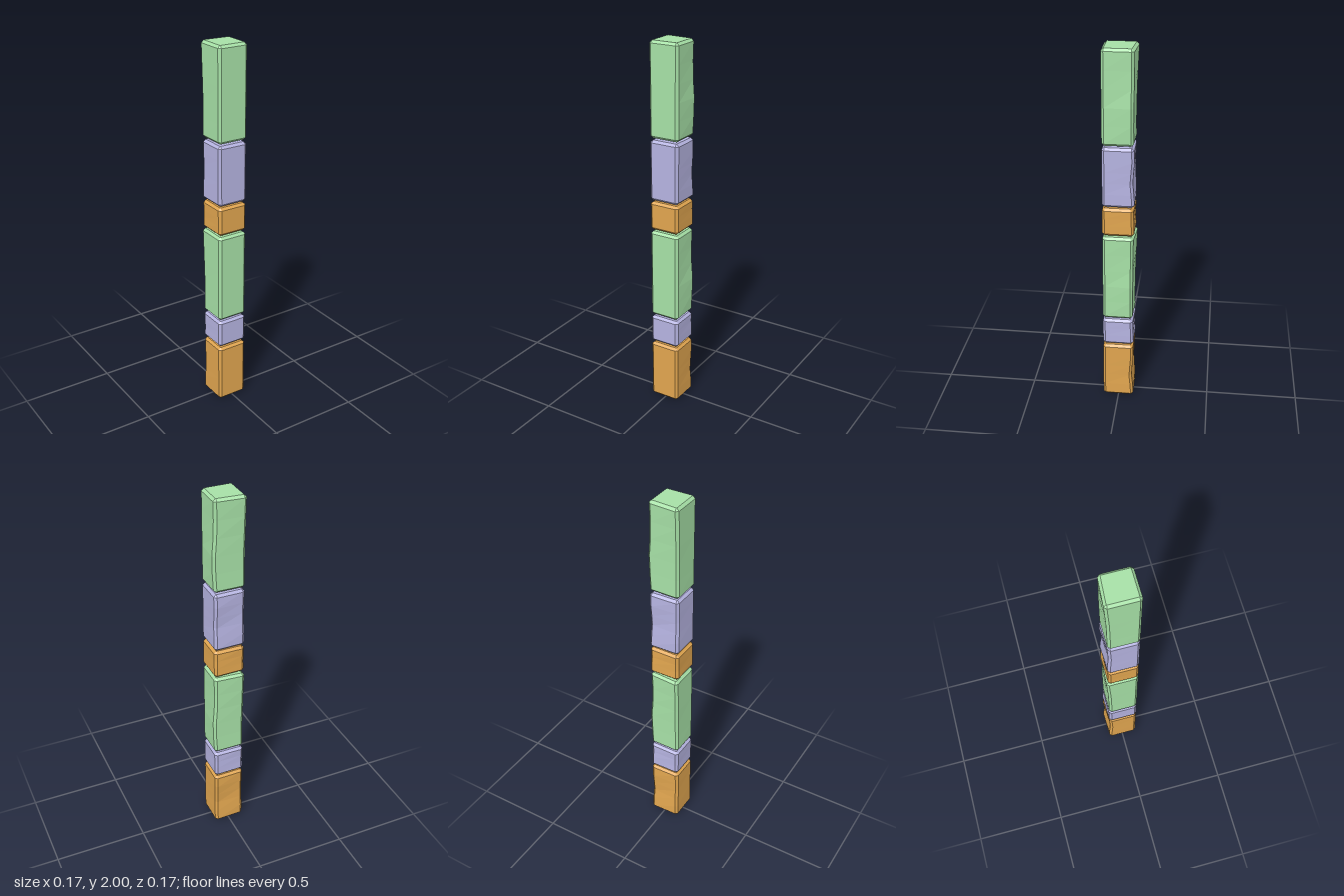
import * as THREE from 'three';

const BEVEL = 0.013;

// Back corner positions from top to bottom: [left x, left z, right x, right z]
const wornBack = {
  long: [
    [0.080, -0.078, -0.087, -0.088], [0.078, -0.077, -0.087, -0.084], [0.080, -0.077, -0.087, -0.080],
    [0.087, -0.077, -0.086, -0.078], [0.085, -0.076, -0.086, -0.077], [0.080, -0.077, -0.087, -0.078],
  ],
  medium: [
    [0.080, -0.080, -0.087, -0.078], [0.080, -0.082, -0.087, -0.076], [0.079, -0.077, -0.086, -0.074],
    [0.078, -0.073, -0.086, -0.076], [0.080, -0.079, -0.087, -0.080], [0.080, -0.083, -0.087, -0.080],
  ],
  short: [
    [0.080, -0.078, -0.087, -0.080], [0.079, -0.079, -0.087, -0.078],
    [0.080, -0.081, -0.086, -0.078], [0.080, -0.082, -0.087, -0.080],
  ],
};

// Eight-sided outline: each corner is cut by the bevel; inset shrinks it for the caps
function outline([lx, lz, rx, rz], y, inset) {
  const corners = [[0.08, 0.085], [lx, lz], [rx, rz], [-0.087, 0.085]];
  const points = [];
  corners.forEach(([x, z], i) => {
    const sx = Math.sign(x), sz = Math.sign(z);
    const cut = inset ? 0.002 : BEVEL; // the caps have nearly square corners
    const px = x - sx * inset, pz = z - sz * inset;
    const a = [px - sx * cut, y, pz], b = [px, y, pz - sz * cut];
    points.push(...(i % 2 ? [b, a] : [a, b]));
  });
  return points;
}

// Bevelled block lofted from the outlines, with flat caps
function blockGeometry(y0, y1, rows) {
  const last = rows.length - 1;
  const rings = rows.map((row, i) =>
    outline(row, THREE.MathUtils.lerp(y1 - BEVEL, y0 + BEVEL, i / last), 0));
  rings.unshift(outline(rows[0], y1, BEVEL));
  rings.push(outline(rows[last], y0, BEVEL));

  const positions = rings.flat(2);
  const index = [];
  for (let r = 0; r < rings.length - 1; r++) {
    for (let i = 0; i < 8; i++) {
      const a = r * 8 + i, b = r * 8 + (i + 1) % 8;
      index.push(a, a + 8, b, b, a + 8, b + 8);
    }
  }
  const base = (rings.length - 1) * 8;
  for (let i = 1; i < 7; i++) {
    index.push(0, i, i + 1);
    index.push(base, base + i + 1, base + i);
  }
  const indexed = new THREE.BufferGeometry();
  indexed.setAttribute('position', new THREE.Float32BufferAttribute(positions, 3));
  indexed.setIndex(index);
  const geometry = indexed.toNonIndexed();
  geometry.computeVertexNormals();
  return geometry;
}

export function createModel() {
  const material = (color) => new THREE.MeshStandardMaterial({ color, flatShading: true });
  const green = material(0xa6e0a6), lilac = material(0xb5b3e0), orange = material(0xe0a54f);

  // Stacked blocks from the ground up, with narrow gaps between them
  const blocks = [
    ['bottomOrangeBlock', 0.0, 0.332, 'medium', orange],
    ['lowerLilacBlock', 0.342, 0.498, 'short', lilac],
    ['lowerGreenBlock', 0.508, 1.0, 'long', green],
    ['upperOrangeBlock', 1.01, 1.166, 'short', orange],
    ['upperLilacBlock', 1.174, 1.498, 'medium', lilac],
    ['topGreenBlock', 1.508, 2.0, 'long', green],
  ];

  const model = new THREE.Group();
  model.name = 'blockColumn';
  for (const [name, y0, y1, wear, mat] of blocks) {
    const mesh = new THREE.Mesh(blockGeometry(y0, y1, wornBack[wear]), mat);
    mesh.name = name;
    model.add(mesh);
  }
  return model;
}
